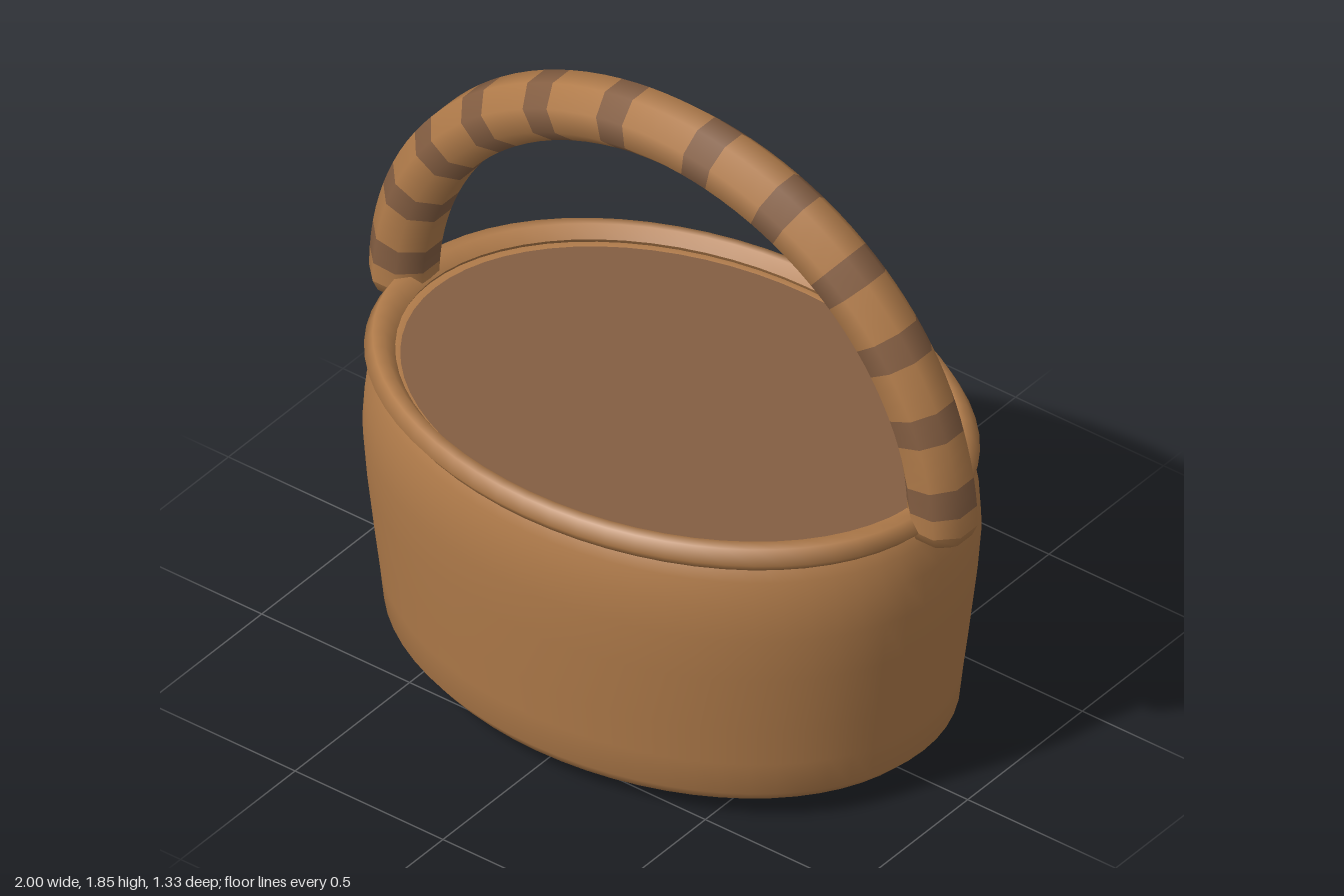
import * as THREE from 'three';

const DEPTH = 0.73; // oval: z radius relative to x radius

const wicker = new THREE.MeshStandardMaterial({ color: 0xb07b4a });
wicker.name = 'wicker brown';
const dark = new THREE.MeshStandardMaterial({ color: 0x845e42 });
dark.name = 'dark brown';

const rad = THREE.MathUtils.degToRad;
const pts = (list) => list.map(([x, y]) => new THREE.Vector2(x, y));

function mesh(name, geometry, material) {
  const m = new THREE.Mesh(geometry, material);
  m.name = name;
  return m;
}

// Oval solid of revolution
function oval(profile) {
  return new THREE.LatheGeometry(pts(profile), 64).scale(1, 1, DEPTH);
}

// Octagonal ring cross-section, flat sides facing out and sideways
const R = 0.91, TUBE = 0.09 / Math.cos(Math.PI / 8);
const octagon = [];
for (let i = 0; i <= 8; i++) {
  const a = rad(202.5 + 45 * i);
  octagon.push([R + TUBE * Math.cos(a), TUBE * Math.sin(a)]);
}

// Piece of the handle arch between two angles, 0 = +x end, 180 = -x end
function archPiece(from, to) {
  const steps = Math.max(2, Math.ceil((to - from) / 4));
  return new THREE.LatheGeometry(pts(octagon), steps, rad(90 + from), rad(to - from))
    .rotateX(Math.PI / 2)
    .scale(1, 0.96, 1);
}

function createHandle() {
  const handle = new THREE.Group();
  handle.name = 'handle';
  handle.position.set(0, 0.89, -0.006);

  // Alternate plain and dark wrapped stretches along the arch
  const half = [6.5, 20.5, 35, 49.5, 65, 81];
  const bands = [...half, ...half.map((a) => 180 - a).reverse()];
  let start = 0;
  for (const a of bands) {
    handle.add(mesh('handleCane', archPiece(start, a - 2.7), wicker));
    handle.add(mesh('handleBand', archPiece(a - 2.7, a + 2.7), dark));
    start = a + 2.7;
  }
  handle.add(mesh('handleCane', archPiece(start, 180), wicker));

  // Chamfered foot at each end
  for (const side of [1, -1]) {
    const foot = new THREE.LatheGeometry(
      pts([[0, -0.062], [0.05, -0.06], [0.082, -0.035], [TUBE, 0]]), 8, Math.PI / 8);
    foot.translate(side * R, 0, 0);
    handle.add(mesh('handleFoot', foot, wicker));
  }
  return handle;
}

export function createModel() {
  const basket = new THREE.Group();
  basket.name = 'basket';

  // Bulging body with a narrow inner lip at the top
  basket.add(mesh('body', oval([
    [0, 0], [0.3, 0], [0.6, 0.003], [0.74, 0.025], [0.81, 0.055], [0.85, 0.095],
    [0.862, 0.2], [0.878, 0.32], [0.9, 0.5], [0.912, 0.64], [0.905, 0.74],
    [0.885, 0.82], [0.86, 0.87], [0.83, 0.89], [0.79, 0.882],
  ]), wicker));

  // Rolled rim
  basket.add(mesh('rim', oval([
    [0.815, 0.9], [0.835, 0.862], [0.875, 0.857], [0.907, 0.89],
    [0.882, 0.93], [0.845, 0.934], [0.815, 0.9],
  ]), wicker));

  // Dark oval surface filling the opening
  const fill = new THREE.CircleGeometry(0.8, 64).rotateX(-Math.PI / 2).scale(1, 1, DEPTH);
  fill.translate(0, 0.886, 0);
  basket.add(mesh('filling', fill, dark));

  basket.add(createHandle());
  return basket;
}
